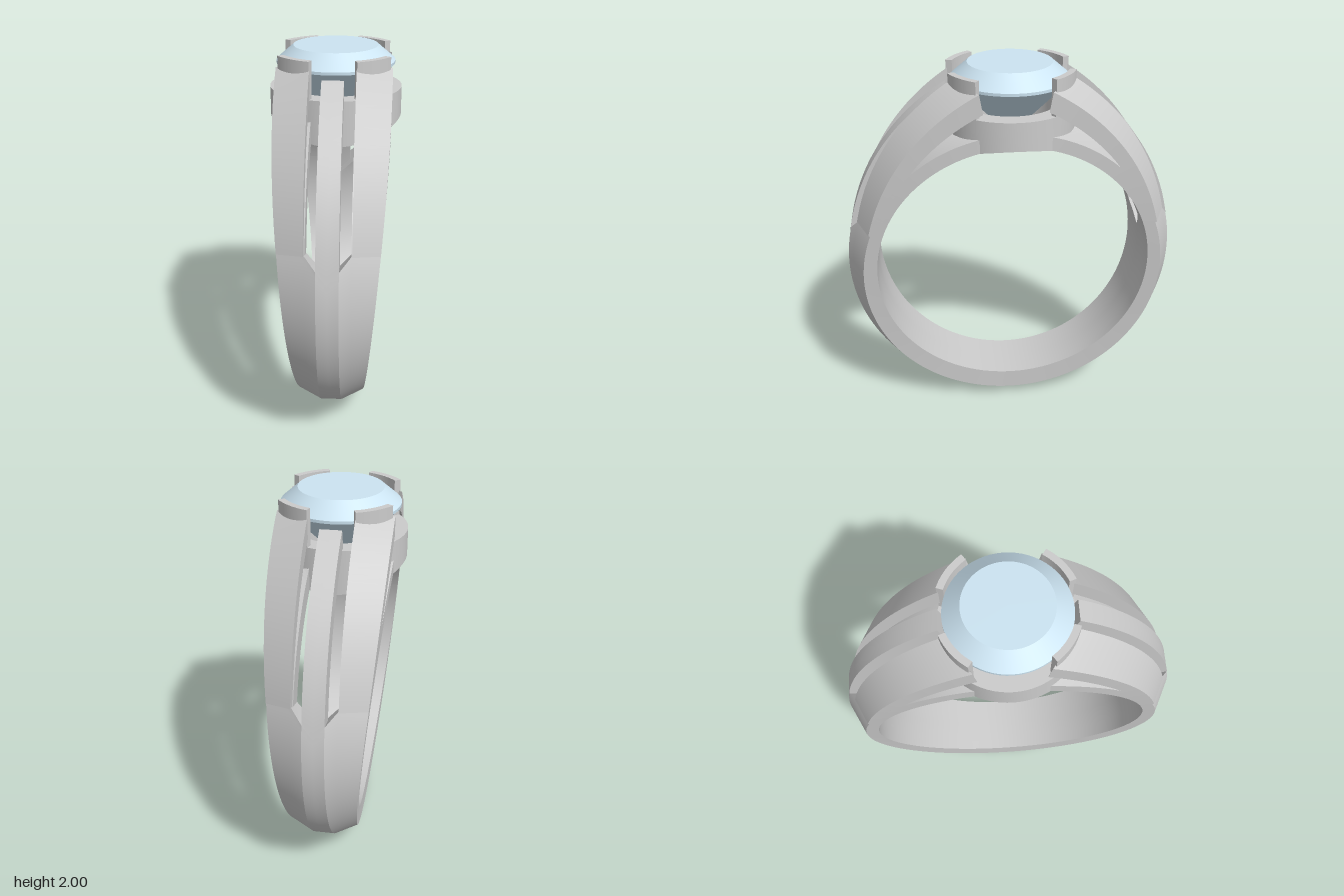
import * as THREE from 'three';
import { toCreasedNormals } from 'three/addons/utils/BufferGeometryUtils.js';

const CY = 0.9, R_IN = 0.74; // centre height and finger hole radius
const rad = THREE.MathUtils.degToRad;
const metal = new THREE.MeshStandardMaterial({ color: 0xcccccc });
const gemMat = new THREE.MeshStandardMaterial({ color: 0xcce4f2 });
const gemFacet = new THREE.MeshStandardMaterial({ color: 0xcce4f2, flatShading: true });

// Band half width grows with height; angles are in degrees above the horizontal
const halfWidth = (a) => 0.15 + 0.085 * (CY + 0.8 * Math.sin(rad(a)));
// How far the shoulders lift off the circle
const lift = (a) => 0.25 * Math.pow(Math.max(0, (a - 10) / 69), 1.6);
// Bevelled outside of the band: flat crest, sloping flanks
const bevel = (w) => 0.9 - 0.5 * Math.max(0, Math.abs(w) - 0.055);
// Pointed end of the slots
const slotEnd = (w) => 10 + 9 * Math.min(Math.abs(w), 0.11) / 0.11;

// Sweeps a strip round the ring; ws lists widths (1 or -1 = band edge)
function sweep(ws, aStart, aEnd, rOut, rIn, n) {
  const m = ws.length, K = 2 * m, pos = [], idx = [];
  for (let j = 0; j <= n; j++) {
    for (let k = 0; k < K; k++) {
      const outer = k < m;
      const s = ws[outer ? k : K - 1 - k];
      const sw = Math.abs(s) === 1 ? Math.sign(s) * 0.28 : s;
      const a = THREE.MathUtils.lerp(aStart(sw), aEnd(sw), j / n);
      const w = Math.abs(s) === 1 ? Math.sign(s) * halfWidth(a) : s;
      const r = outer ? rOut(w, a) : rIn(w, a);
      pos.push(r * Math.cos(rad(a)), CY + r * Math.sin(rad(a)), w);
    }
  }
  const quad = (a, b, c, d) => idx.push(a, b, c, a, c, d);
  for (let j = 0; j < n; j++) {
    for (let k = 0; k < K; k++) {
      const k2 = (k + 1) % K;
      quad(j * K + k, (j + 1) * K + k, (j + 1) * K + k2, j * K + k2);
    }
  }
  const e = n * K;
  for (let i = 0; i < m - 1; i++) {
    quad(i, i + 1, K - 2 - i, K - 1 - i);
    quad(e + i, e + K - 1 - i, e + K - 2 - i, e + i + 1);
  }
  const g = new THREE.BufferGeometry();
  g.setAttribute('position', new THREE.Float32BufferAttribute(pos, 3));
  g.setIndex(idx);
  return toCreasedNormals(g, 0.35);
}

function add(parent, name, geometry, material = metal) {
  const mesh = new THREE.Mesh(geometry, material);
  mesh.name = name;
  parent.add(mesh);
  return mesh;
}

export function createModel() {
  const model = new THREE.Group();
  const ring = new THREE.Group();
  ring.name = 'ring';
  ring.rotation.y = Math.PI / 4;
  model.add(ring);

  // Solid lower band with pointed upper ends
  add(ring, 'band', sweep([-1, -0.11, -0.055, 0, 0.055, 0.11, 1],
    (w) => -180 - slotEnd(w), slotEnd, bevel, () => R_IN, 110));

  // Shoulders: inner rails, arched outer straps and a centre bar on each side
  for (let side = 0; side < 2; side++) {
    const shoulder = new THREE.Group();
    shoulder.name = side ? 'rightShoulder' : 'leftShoulder';
    shoulder.rotation.y = side * Math.PI;
    ring.add(shoulder);
    for (const s of [-1, 1]) {
      const span = (w) => (s < 0 ? [-1, -w] : [w, 1]);
      add(shoulder, 'innerRail', sweep(span(0.11), () => 19,
        (w) => 68 + (Math.abs(w) - 0.11) * 82,
        (w, a) => 0.81 + 0.2 * (halfWidth(a) - Math.abs(w)), () => R_IN, 32));
      const strapOut = (w, a) => bevel(w) + lift(a);
      add(shoulder, 'outerStrap', sweep(span(0.115), () => 18.9,
        (w) => 73.5 + (Math.abs(w) - 0.115) * 39,
        strapOut, (w, a) => strapOut(w, a) - 0.05 - 0.05 * (a - 19) / 58, 32));
    }
    const barOut = (w, a) => 0.9 + 0.7 * lift(a);
    add(shoulder, 'centreBar', sweep([-0.055, 0, 0.055], slotEnd, () => 71.5,
      barOut, (w, a) => barOut(w, a) - 0.1, 32));
  }

  // Collar, its underside cut to follow the finger hole
  const profile = [[0.25, 1.6], [0.345, 1.6], [0.345, 1.79], [0.25, 1.79], [0.25, 1.6]];
  const collar = new THREE.LatheGeometry(profile.map((p) => new THREE.Vector2(...p)), 72);
  const p = collar.attributes.position;
  for (let i = 0; i < p.count; i++) {
    if (p.getY(i) < 1.7) p.setY(i, CY + Math.sqrt(R_IN ** 2 - p.getX(i) ** 2));
  }
  add(ring, 'collar', toCreasedNormals(collar, 0.5));

  // Four curved prongs round the stone
  for (const start of [20, 125, 200, 305]) {
    const arc = new THREE.Shape();
    arc.absarc(0, 0, 0.345, rad(start), rad(start + 35), false);
    arc.absarc(0, 0, 0.31, rad(start + 35), rad(start), true);
    const g = new THREE.ExtrudeGeometry(arc, { depth: 0.28, bevelEnabled: false, curveSegments: 12 });
    g.rotateX(-Math.PI / 2).translate(0, 1.7, 0);
    add(ring, 'prong', toCreasedNormals(g, 0.5));
  }

  // Stone: round crown with a flat table, faceted cone below
  const crown = [[0.308, 1.91], [0.308, 1.925], [0.22, 2], [0, 2]];
  const crownGeo = new THREE.LatheGeometry(crown.map((q) => new THREE.Vector2(...q)), 64);
  add(ring, 'stoneCrown', toCreasedNormals(crownGeo, 0.3), gemMat);
  const cone = new THREE.CylinderGeometry(0.308, 0.01, 0.3, 16);
  cone.translate(0, 1.761, 0);
  add(ring, 'stonePavilion', cone, gemFacet);

  return model;
}
